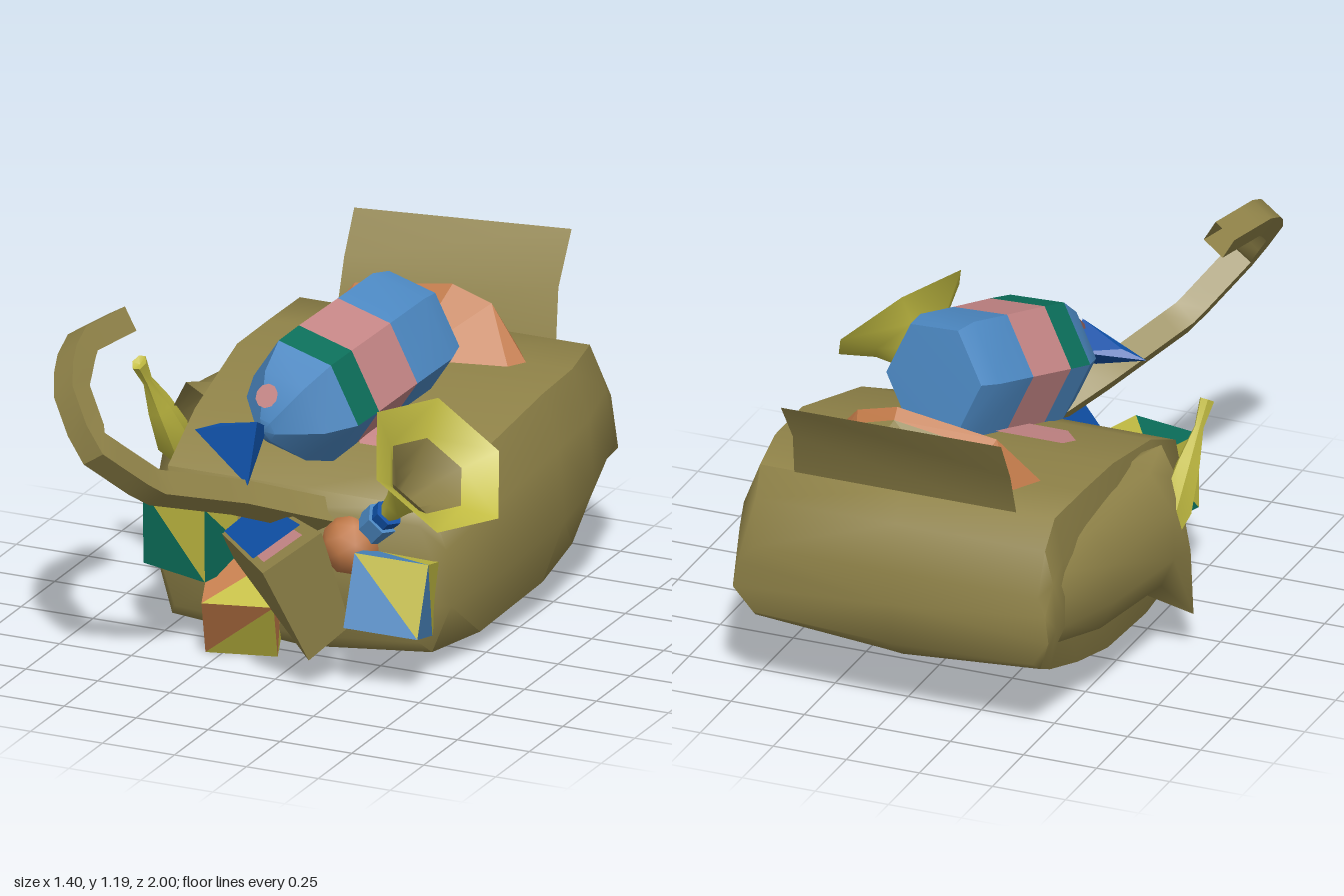
import * as THREE from 'three';
import { toCreasedNormals } from 'three/addons/utils/BufferGeometryUtils.js';
import { ConvexGeometry } from 'three/addons/geometries/ConvexGeometry.js';

const mat = (name, color, open) => {
  const m = new THREE.MeshStandardMaterial({ color });
  m.name = name;
  if (open) m.side = THREE.DoubleSide;
  return m;
};
const V = (p) => new THREE.Vector3(...p);

// Closed skin over rings that run clockwise (seen from +z) and step towards -z
function loft(rings, crease) {
  const n = rings[0].length, pos = [], idx = [];
  rings.forEach((r) => r.forEach((p) => pos.push(...p)));
  const cap = (r) => {
    pos.push(...[0, 1, 2].map((k) => r.reduce((s, p) => s + p[k], 0) / n));
    return pos.length / 3 - 1;
  };
  const front = cap(rings[0]), back = cap(rings.at(-1)), last = (rings.length - 1) * n;
  for (let j = 0; j < n; j++) {
    const k = (j + 1) % n;
    for (let i = 0; i < rings.length - 1; i++) {
      const a = i * n + j, b = i * n + k;
      idx.push(a, b, b + n, a, b + n, a + n);
    }
    idx.push(front, k, j, back, last + j, last + k);
  }
  const g = new THREE.BufferGeometry();
  g.setAttribute('position', new THREE.Float32BufferAttribute(pos, 3));
  g.setIndex(idx);
  return toCreasedNormals(g, crease);
}

// Open cloth surface from rows of points
function sheet(rows) {
  const g = new THREE.PlaneGeometry(1, 1, rows[0].length - 1, rows.length - 1);
  rows.flat().forEach((p, i) => g.attributes.position.setXYZ(i, ...p));
  g.computeVertexNormals();
  return g;
}

// Six-sided turned shape; profile is [radius, height]
const turned = (profile, start = Math.PI / 2, sweep = Math.PI * 2, sides = 6, crease = 0.5) =>
  toCreasedNormals(new THREE.LatheGeometry(profile.map((p) => new THREE.Vector2(...p)), sides, start, sweep), crease);

const hull = (points) => new ConvexGeometry(points.map(V));

export function createModel() {
  const model = new THREE.Group();
  const olive = mat('olive cloth', 0x8f8248, true), yellow = mat('yellow', 0xc2bc42, true);
  const blue = mat('light blue', 0x4c88c2), navy = mat('deep blue', 0x0f50a6, true);
  const pink = mat('pink', 0xc48585, true), green = mat('green', 0x0b6e5a);
  const orange = mat('orange', 0xbf7847);
  const add = (name, geo, m, parent = model) => {
    const mesh = new THREE.Mesh(geo, m);
    mesh.name = name;
    parent.add(mesh);
    return mesh;
  };
  const axisGroup = (name, origin, dir) => {
    const g = new THREE.Group();
    g.name = name;
    g.position.set(...origin);
    g.quaternion.setFromUnitVectors(new THREE.Vector3(0, 1, 0), V(dir).normalize());
    model.add(g);
    return g;
  };

  // Bag body: [z, centre x, half width, bottom, top]
  const ring = [[-0.93, 1], [0, 1], [0.87, 1], [0.97, 0.5], [1, -0.2], [0.87, -0.82],
    [0, -1], [-0.9, -0.86], [-1, -0.2], [-0.98, 0.5]];
  const sections = [[0.28, -0.02, 0.48, 0.1, 0.53], [0.24, -0.02, 0.51, 0.05, 0.58], [0, 0, 0.55, 0.035, 0.69],
    [-0.37, 0.01, 0.59, 0.08, 0.775], [-0.6, 0.01, 0.585, 0.135, 0.78], [-0.82, -0.01, 0.56, 0.21, 0.78],
    [-0.9, -0.02, 0.55, 0.255, 0.7], [-0.94, -0.02, 0.54, 0.3, 0.55]];
  add('bag', loft(sections.map(([z, cx, w, lo, hi]) =>
    ring.map(([x, y]) => [cx + x * w, (lo + hi) / 2 + y * (hi - lo) / 2, z])), 1.1), olive);

  // Open side pocket and the little horn standing in it
  add('sidePocket', sheet([
    [[-0.52, 0.69, -0.1], [-0.59, 0.73, -0.1], [-0.645, 0.62, -0.1], [-0.69, 0.38, -0.1], [-0.7, 0.16, -0.1], [-0.53, 0.21, -0.12]],
    [[-0.52, 0.7, -0.22], [-0.6, 0.69, -0.22], [-0.685, 0.56, -0.22], [-0.685, 0.4, -0.22], [-0.64, 0.3, -0.22], [-0.5, 0.26, -0.22]],
    [[-0.5, 0.7, -0.62], [-0.58, 0.66, -0.62], [-0.645, 0.55, -0.62], [-0.65, 0.42, -0.62], [-0.6, 0.32, -0.62], [-0.5, 0.27, -0.62]],
    [[-0.5, 0.66, -0.84], [-0.55, 0.6, -0.84], [-0.575, 0.52, -0.84], [-0.575, 0.42, -0.84], [-0.55, 0.36, -0.84], [-0.5, 0.32, -0.84]],
  ]), olive);
  const spout = axisGroup('pocketHorn', [-0.64, 0.42, -0.2], [-0.04, 0.42, 0.26]);
  spout.scale.set(0.7, 1, 0.9);
  add('pocketHornBody', turned([[0.03, 0], [0.08, 0.13], [0.055, 0.28], [0.022, 0.4], [0.035, 0.49], [0, 0.48]]), yellow, spout);

  // Lid standing open at the back
  add('lid', sheet([
    [[-0.4, 1.06, -0.945], [0.33, 1.085, -1]],
    [[-0.4, 0.92, -0.87], [0.34, 0.93, -0.88]],
    [[-0.4, 0.77, -0.82], [0.36, 0.77, -0.82]]]), olive);

  // Bundle showing through the top opening
  const ridge = [[-0.26, 0.93, -0.65], [0.08, 0.98, -0.65], [0.22, 0.94, -0.64]];
  const shoulder = ridge.map(([x, y, z]) => [x * 0.95, y - 0.03, z - 0.035]);
  add('bundleFront', hull([...ridge, ...shoulder, [-0.39, 0.77, -0.58], [-0.3, 0.77, -0.5], [0, 0.77, -0.46],
    [0.33, 0.77, -0.53], [0.37, 0.77, -0.59], [-0.33, 0.77, -0.69], [0.3, 0.77, -0.69]]), orange);
  add('bundleBack', hull([...shoulder, [-0.3, 0.77, -0.69], [0.29, 0.77, -0.69],
    [-0.2, 0.77, -0.82], [0.18, 0.77, -0.82]]), olive);

  // Faded patches on the bag top
  add('leftPatch', sheet([
    [[-0.32, 0.756, -0.26], [-0.05, 0.756, -0.26]], [[-0.34, 0.743, -0.2], [-0.02, 0.743, -0.2]],
    [[-0.27, 0.72, -0.1], [-0.02, 0.72, -0.1]]]), pink);
  add('rightPatch', sheet([
    [[0.05, 0.73, -0.14], [0.27, 0.73, -0.14]], [[0.05, 0.698, 0], [0.29, 0.698, 0]],
    [[0.08, 0.678, 0.04], [0.28, 0.678, 0.04]]]), pink);

  // Wrapped sweet lying on top, built along its own axis
  const sweet = axisGroup('sweet', [-0.02, 0.865, 0], [0.29, 0.23, -1]);
  sweet.rotateY(-0.12);
  const half = Math.PI / 2;
  add('sweetBack', turned([[0.215, 0.14], [0.215, 0.31], [0.19, 0.375], [0, 0.38]]), blue, sweet);
  add('sweetBand', turned([[0.217, -0.05], [0.215, 0.14]]), pink, sweet);
  add('sweetGreenBand', turned([[0.215, -0.15], [0.217, -0.05]], -half, Math.PI, 3), green, sweet);
  add('sweetUnderBand', turned([[0.215, -0.15], [0.217, -0.05]], half, Math.PI, 3), blue, sweet);
  add('sweetNose', turned([[0, -0.36], [0.04, -0.35], [0.16, -0.25], [0.215, -0.15]]), blue, sweet);
  const spot = add('sweetSpot', new THREE.CircleGeometry(0.04, 10), pink, sweet);
  spot.position.set(-0.03, -0.304, 0.093);
  spot.rotation.x = 0.8;
  add('sweetTwist', hull([[-0.12, 0.79, 0.3], [-0.1, 0.85, 0.42], [-0.1, 0.66, 0.49],
    [-0.26, 0.8, 0.36], [-0.34, 0.77, 0.37]]), navy);

  // Hooked cane
  const path = [[0.1, 0.48, 0.2], [-0.01, 0.54, 0.33], [-0.13, 0.62, 0.5], [-0.29, 0.73, 0.8], [-0.42, 0.9, 0.965],
    [-0.53, 1.06, 0.89], [-0.565, 1.15, 0.75], [-0.52, 1.155, 0.53]].map(V);
  const curve = new THREE.CurvePath();
  for (let i = 1; i < path.length; i++) curve.add(new THREE.LineCurve3(path[i - 1], path[i]));
  add('cane', toCreasedNormals(new THREE.TubeGeometry(curve, 24, 0.06, 4), 0.6), olive);

  // Large flared horn with a darker lining in the throat
  const horn = axisGroup('horn', [0.275, 0.54, 0.28], [0.245, 0.26, 0.095]);
  const turn = Math.PI * 2;
  add('hornBell', turned([[0.03, 0.02], [0.045, 0.09], [0.085, 0.19], [0.15, 0.27], [0.255, 0.345]],
    0.6, turn, 6, 1.2), yellow, horn);
  add('hornLining', turned([[0.04, 0.1], [0.078, 0.196], [0.143, 0.276]], 0.6, turn, 6, 1.2), olive, horn);
  add('hornGrip', turned([[0, -0.08], [0.06, -0.08], [0.06, 0], [0, 0]]), blue, horn);
  add('hornCollar', turned([[0, 0], [0.048, 0], [0.048, 0.035], [0, 0.035]]), navy, horn);

  // Toy blocks, each face split along its diagonal into two colours
  function block(name, size, position, rotation, lower, upper) {
    const g = new THREE.BoxGeometry(size, size, size);
    g.rotateZ(half);
    g.clearGroups();
    for (let i = 0; i < 12; i++) g.addGroup(i * 3, 3, i % 2);
    const b = add(name, g, [lower, upper]);
    b.position.set(...position);
    b.rotation.set(...rotation);
  }
  block('greenBlock', 0.25, [-0.365, 0.42, 0.285], [0.05, -0.25, -0.02], green, yellow);
  block('blueBlock', 0.24, [0.35, 0.325, 0.37], [-0.3, 0.22, -0.02], blue, yellow);
  block('orangeBlock', 0.23, [-0.2, 0.185, 0.3], [0.5, 0.25, half - 0.15], yellow, orange);

  // Tapered box poking out of the front, with a painted top
  const top = [[-0.25, 0.43, 0.36], [-0.17, 0.51, 0.22], [0.05, 0.46, 0.7], [0.184, 0.567, 0.55]];
  add('taperedBox', hull([...top, [0.236, 0.227, 0.445], [0.14, 0.13, 0.55],
    [-0.17, 0.36, 0.18], [-0.25, 0.32, 0.278]]), olive);
  const [a, b, c, d] = top.map(V);
  const onTop = (u, v) => a.clone().lerp(c, u).lerp(b.clone().lerp(d, u), v).add(V([-0.002, 0.006, 0.002])).toArray();
  const stripe = (u0, u1, v0, v1) => sheet([v1, v0].map((v) => [onTop(u0, v), onTop(u1, v)]));
  add('boxTopPaint', stripe(0.02, 0.72, 0.05, 0.92), navy);
  add('boxTopStripe', stripe(0.72, 0.88, 0.12, 0.8), pink);

  // Small ball tucked between the toys
  const ball = add('ball', new THREE.IcosahedronGeometry(0.1, 1), orange);
  ball.position.set(0.16, 0.43, 0.27);
  return model;
}
